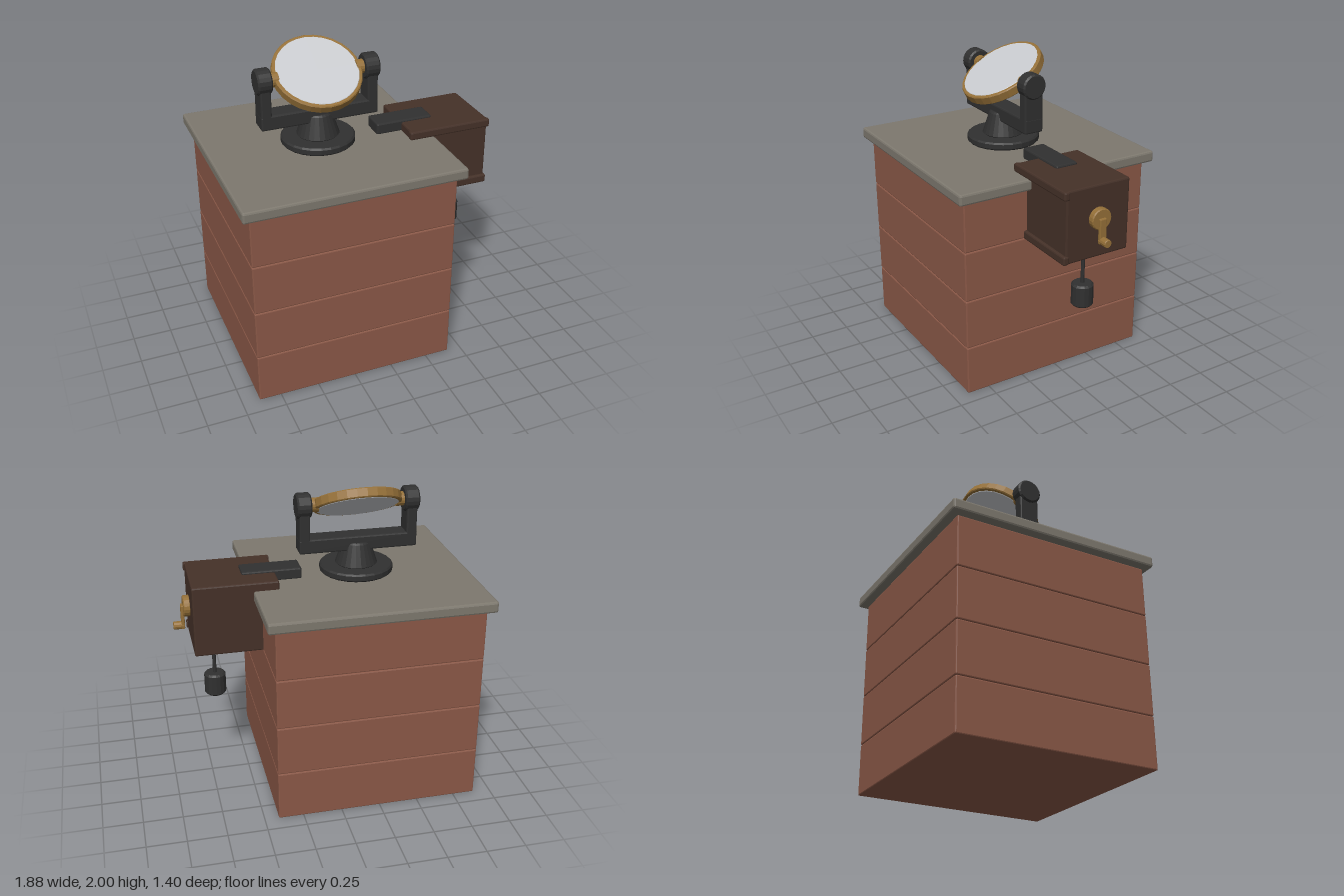
import * as THREE from 'three';
import { RoundedBoxGeometry } from 'three/addons/geometries/RoundedBoxGeometry.js';

const mat = (color, side = THREE.FrontSide) => new THREE.MeshStandardMaterial({ color, side, flatShading: true });
const BRICK = mat(0x8a5847), STONE = mat(0x7d786e), IRON = mat(0x303030),
  BRASS = mat(0x957038), WOOD = mat(0x453128), GLASS = mat(0xc8cace);

export function createModel() {
  const model = new THREE.Group();

  const add = (name, geometry, material, x, y, z = 0, parent = model) => {
    const mesh = new THREE.Mesh(geometry, material);
    mesh.name = name;
    mesh.position.set(x, y, z);
    parent.add(mesh);
    return mesh;
  };
  // Chamfered box given by its minimum and maximum corners
  const box = (name, material, x0, x1, y0, y1, z0, z1, chamfer = 0.01) =>
    add(name, new RoundedBoxGeometry(x1 - x0, y1 - y0, z1 - z0, 1, chamfer), material,
      (x0 + x1) / 2, (y0 + y1) / 2, (z0 + z1) / 2);
  // Solid of revolution with chamfered rims, centred on the origin
  const drum = (rBottom, rTop, h, sides = 24, c = 0.01) => new THREE.LatheGeometry([
    [0, -h / 2], [rBottom - c, -h / 2], [rBottom, -h / 2 + c],
    [rTop, h / 2 - c], [rTop - c, h / 2], [0, h / 2],
  ].map(([r, y]) => new THREE.Vector2(r, y)), sides);
  const alongX = (g) => g.rotateZ(-Math.PI / 2);

  // Pedestal: four courses around a core, under a stone slab
  const cx = -0.24;
  for (let i = 0; i < 4; i++) {
    const y = 0.328 * i;
    box('pedestalCourse', BRICK, cx - 0.65, cx + 0.65, y, y + 0.325, -0.65, 0.65, 0.007);
  }
  add('pedestalCore', new THREE.BoxGeometry(1.28, 1.3, 1.28), BRICK, cx, 0.66);
  box('slab', STONE, cx - 0.7, cx + 0.7, 1.313, 1.385, -0.7, 0.7, 0.013);

  // Stand and yoke
  add('standFoot', drum(0.235, 0.235, 0.05), IRON, cx, 1.41);
  add('standCone', drum(0.135, 0.09, 0.155), IRON, cx, 1.508);
  box('yokeBar', IRON, cx - 0.38, cx + 0.38, 1.535, 1.63, -0.065, 0.065);
  const pivotY = 1.835;
  for (const s of [-1, 1]) {
    const armX = cx + s * 0.345;
    box('yokeArm', IRON, armX - 0.034, armX + 0.034, 1.535, pivotY, -0.065, 0.065);
    add('yokeHub', alongX(drum(0.081, 0.081, 0.092, 20)), IRON, armX, pivotY);
    add('mirrorPin', alongX(new THREE.CylinderGeometry(0.045, 0.045, 0.07, 16)), BRASS, cx + s * 0.285, pivotY);
  }

  // Tilting mirror: brass ring holding a disc of glass
  const mirror = new THREE.Group();
  mirror.name = 'mirror';
  mirror.position.set(cx, pivotY, 0);
  mirror.rotation.x = Math.PI / 6;
  model.add(mirror);
  const ring = [[0.255, -0.03], [0.274, -0.03], [0.28, -0.024], [0.28, 0.024], [0.274, 0.03], [0.255, 0.03], [0.255, -0.03]];
  add('mirrorRing', new THREE.LatheGeometry(ring.map(([r, y]) => new THREE.Vector2(r, y)), 28), BRASS, 0, 0, 0, mirror);
  add('mirrorGlass', drum(0.26, 0.26, 0.066, 28, 0.004), GLASS, 0, 0, 0, mirror);

  // Drive box with front rails and a strap onto the slab
  box('driveBox', WOOD, 0.3, 0.838, 0.98, 1.44, -0.22, 0.22);
  for (const y of [0.98, 1.385]) box('driveBoxRail', WOOD, 0.29, 0.846, y, y + 0.055, 0.2, 0.24);
  box('strap', IRON, 0.13, 0.51, 1.38, 1.455, -0.075, 0.075);

  // Crank
  add('crankPlate', alongX(drum(0.068, 0.068, 0.045, 20, 0.006)), BRASS, 0.857, 1.235);
  box('crankArm', BRASS, 0.873, 0.895, 1.085, 1.245, -0.024, 0.024, 0.006);
  add('crankHandle', alongX(drum(0.026, 0.026, 0.07, 12, 0.004)), BRASS, 0.91, 1.105);

  // Hanging weight
  add('cord', new THREE.CylinderGeometry(0.012, 0.012, 0.28, 8), IRON, 0.7, 0.86);
  add('weight', drum(0.07, 0.07, 0.15, 16, 0.012), IRON, 0.7, 0.672);

  return model;
}
